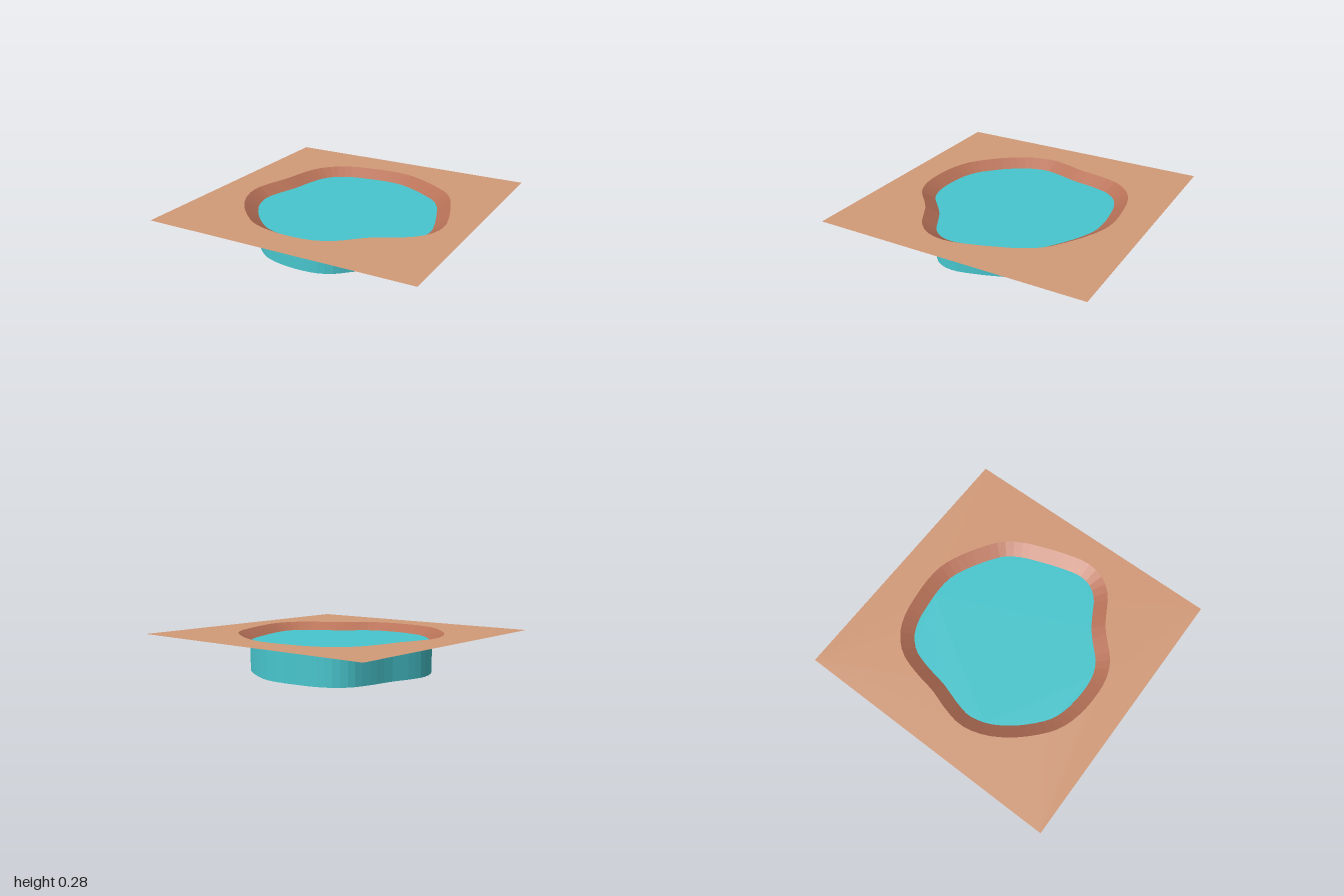
import * as THREE from 'three';

// Shoreline control points as [x, z], clockwise seen from above
const SHORE = [
  [-0.015, -0.755], [0.14, -0.74], [0.3, -0.675], [0.43, -0.6], [0.565, -0.5], [0.65, -0.375],
  [0.715, -0.215], [0.77, -0.05], [0.805, 0.125], [0.775, 0.27], [0.685, 0.385], [0.57, 0.455],
  [0.465, 0.515], [0.375, 0.595], [0.27, 0.69], [0.14, 0.745], [-0.015, 0.76], [-0.21, 0.74],
  [-0.355, 0.69], [-0.48, 0.595], [-0.61, 0.455], [-0.705, 0.295], [-0.745, 0.125], [-0.72, -0.025],
  [-0.67, -0.185], [-0.635, -0.37], [-0.58, -0.53], [-0.475, -0.645], [-0.34, -0.71], [-0.18, -0.74],
];
const SEGMENTS = 72;
const GROUND_Y = 0.28, BANK_BOTTOM = 0.22, WATER_TOP = 0.222;

const curve = new THREE.CatmullRomCurve3(SHORE.map(([x, z]) => new THREE.Vector3(x, 0, z)), true);

// Outline moved inward by a distance along the curve normal, as (x, -z) for shapes
function outline(inset) {
  const points = [];
  for (let i = 0; i < SEGMENTS; i++) {
    const p = curve.getPointAt(i / SEGMENTS);
    const t = curve.getTangentAt(i / SEGMENTS);
    points.push(new THREE.Vector2(p.x - t.z * inset, -(p.z + t.x * inset)));
  }
  return points;
}

// Sloping strip between the ground opening and the water
function bankGeometry() {
  const outer = outline(0), inner = outline(0.1);
  const positions = [];
  const push = (p, y) => positions.push(p.x, y, -p.y);
  for (let i = 0; i < SEGMENTS; i++) {
    const j = (i + 1) % SEGMENTS;
    push(outer[i], GROUND_Y); push(inner[j], BANK_BOTTOM); push(outer[j], GROUND_Y);
    push(outer[i], GROUND_Y); push(inner[i], BANK_BOTTOM); push(inner[j], BANK_BOTTOM);
  }
  const geometry = new THREE.BufferGeometry();
  geometry.setAttribute('position', new THREE.Float32BufferAttribute(positions, 3));
  geometry.computeVertexNormals();
  return geometry;
}

export function createModel() {
  const material = (name, color, side = THREE.FrontSide) => {
    const m = new THREE.MeshStandardMaterial({ color, side });
    m.name = name;
    return m;
  };
  const sand = material('sand', 0xd29a78, THREE.DoubleSide);
  const clay = material('clay', 0xb87258, THREE.DoubleSide);
  const blue = material('waterBlue', 0x48c6ce);

  const group = new THREE.Group();
  group.name = 'pond';
  const add = (name, geometry, mat) => {
    const mesh = new THREE.Mesh(geometry, mat);
    mesh.name = name;
    group.add(mesh);
    return mesh;
  };

  // Square ground sheet with the pond opening
  const square = new THREE.Shape([[-1, -1], [1, -1], [1, 1], [-1, 1]].map(([x, y]) => new THREE.Vector2(x, y)));
  square.holes.push(new THREE.Path(outline(0)));
  add('ground', new THREE.ShapeGeometry(square).rotateX(-Math.PI / 2), sand).position.y = GROUND_Y;

  add('bank', bankGeometry(), clay);

  // Solid body of water, tucked just under the bank
  const body = new THREE.ExtrudeGeometry(new THREE.Shape(outline(0.087)), { depth: WATER_TOP, bevelEnabled: false });
  add('water', body.rotateX(-Math.PI / 2), blue);

  return group;
}
